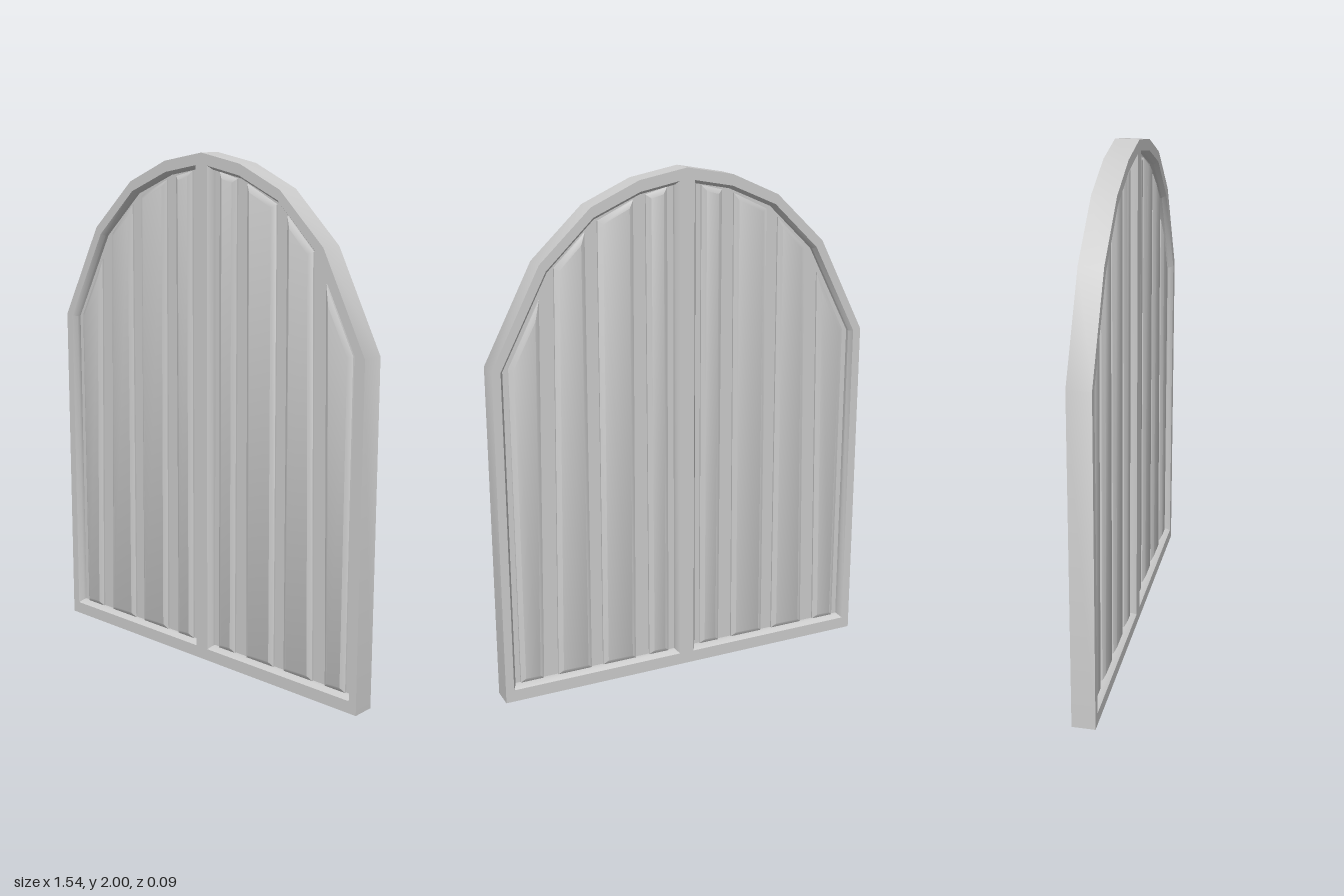
import * as THREE from 'three';
import { toCreasedNormals } from 'three/addons/utils/BufferGeometryUtils.js';

const material = new THREE.MeshStandardMaterial({ color: 0xcccccc });

// Move every edge of a convex, counter-clockwise polygon inwards by d
function inset(points, d) {
  const n = points.length;
  return points.map(([x, y], i) => {
    const [px, py] = points[(i + n - 1) % n], [qx, qy] = points[(i + 1) % n];
    const l1 = Math.hypot(x - px, y - py), l2 = Math.hypot(qx - x, qy - y);
    const n1 = [(py - y) / l1, (x - px) / l1], n2 = [(y - qy) / l2, (qx - x) / l2];
    const k = d / (1 + n1[0] * n2[0] + n1[1] * n2[1]);
    return [x + (n1[0] + n2[0]) * k, y + (n1[1] + n2[1]) * k];
  });
}

// Join matching outlines at given depths, and close both ends
function loft(sections) {
  const pos = [], index = [];
  const n = sections[0][0].length;
  for (const [outline, z] of sections) for (const [x, y] of outline) pos.push(x, y, z);
  for (let s = 0; s < sections.length - 1; s++) {
    for (let i = 0; i < n; i++) {
      const a = s * n + i, b = s * n + (i + 1) % n;
      index.push(a, b, b + n, a, b + n, a + n);
    }
  }
  const end = (sections.length - 1) * n;
  for (let i = 1; i < n - 1; i++) {
    index.push(0, i + 1, i, end, end + i, end + i + 1);
  }
  const geometry = new THREE.BufferGeometry();
  geometry.setAttribute('position', new THREE.Float32BufferAttribute(pos, 3));
  geometry.setIndex(index);
  return toCreasedNormals(geometry, 0.6);
}

// The other leaf's outline, kept counter-clockwise
const mirror = (points) => points.map(([x, y]) => [-x, y]).reverse();

// Half of the arched frame, and its opening
const OUTER = [[0, 0], [0.77, 0], [0.77, 1.32], [0.58, 1.69], [0.38, 1.88], [0.19, 1.965], [0, 2]];
const OPENING = [[0.03, 0.048], [0.737, 0.048], [0.737, 1.315], [0.555, 1.665], [0.37, 1.843], [0.187, 1.923], [0.03, 1.953]];

// Tapered planks: bottom inner x, bottom outer x, then the two top corners
const PLANKS = [
  [0.07, 0.155, [0.155, 1.908], [0.07, 1.93]],
  [0.215, 0.355, [0.345, 1.825], [0.205, 1.892]],
  [0.405, 0.545, [0.515, 1.668], [0.395, 1.788]],
  [0.605, 0.70, [0.70, 1.32], [0.575, 1.56]],
];

export function createModel() {
  const model = new THREE.Group();
  model.name = 'archedDoubleDoor';

  for (const side of ['left', 'right']) {
    const place = side === 'left' ? (p) => p : mirror;
    const leaf = new THREE.Group();
    leaf.name = side + 'Leaf';
    model.add(leaf);

    // Frame with a bevelled opening and a recessed panel on both faces
    const outer = place(OUTER), opening = place(OPENING), panel = inset(opening, 0.012);
    const frame = new THREE.Mesh(loft([
      [panel, -0.012], [panel, -0.027], [opening, -0.045], [outer, -0.045],
      [outer, 0.045], [opening, 0.045], [panel, 0.027], [panel, 0.012],
    ]), material);
    frame.name = side + 'Frame';
    leaf.add(frame);

    // Raised planks with bevelled edges, standing out of both faces
    PLANKS.forEach(([x0, x1, topOuter, topInner], i) => {
      const edge = place([[x0, 0.06], [x1, 0.06], topOuter, topInner]);
      const face = inset(edge, 0.018);
      const plank = new THREE.Mesh(loft([
        [face, -0.03], [edge, -0.019], [edge, 0.019], [face, 0.03],
      ]), material);
      plank.name = side + 'Plank' + (i + 1);
      leaf.add(plank);
    });
  }
  return model;
}
